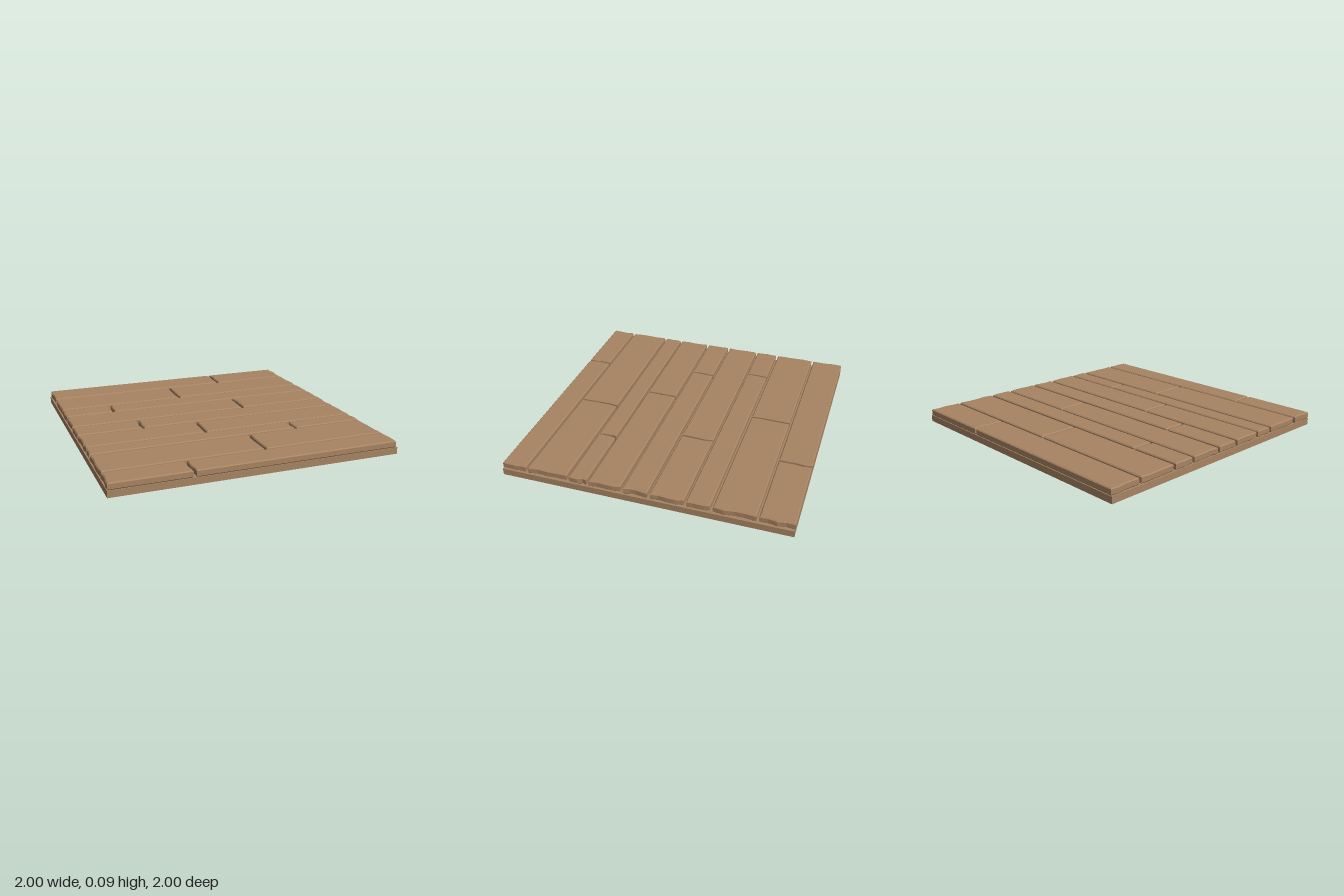
import * as THREE from 'three';

// Small seeded generator, returns -1..1
function seeded(seed) {
  let s = seed;
  return () => {
    s = (s * 16807) % 2147483647;
    return (s / 2147483647) * 2 - 1;
  };
}

const BASE_TOP = 0.047, TOP = 0.095, BEVEL = 0.007, GAP = 0.018;

// Each row: back z, front z, x of the joint between its two planks
const ROWS = [
  [-1.0, -0.772, 0.4],
  [-0.755, -0.475, -0.052],
  [-0.455, -0.3, -0.63],
  [-0.283, -0.056, 0.322],
  [-0.036, 0.13, -0.53],
  [0.15, 0.37, -0.14],
  [0.387, 0.512, 0.482],
  [0.532, 0.812, 0.11],
  [0.83, 1.0, -0.455],
];

export function createModel() {
  const group = new THREE.Group();
  group.name = 'plankFloor';
  const wood = new THREE.MeshStandardMaterial({ color: 0xa88463, flatShading: true });
  const rand = seeded(4721);

  // Slab under the planks
  const base = new THREE.Mesh(new THREE.BoxGeometry(2, BASE_TOP, 2), wood);
  base.position.y = BASE_TOP / 2;
  base.name = 'baseSlab';
  group.add(base);

  // A roughly sawn edge: x values at even steps from back to front
  const sawnEdge = (x, amount) => Array.from({ length: 5 }, () => x + rand() * amount);

  // Bevelled plank between two sawn edges
  function addPlank(name, z0, z1, left, right) {
    const at = (x, i) => new THREE.Vector2(x, -(z0 + ((z1 - z0) * i) / 4));
    const outline = [
      ...left.map(at),
      ...right.map(at).reverse(),
    ];
    const geometry = new THREE.ExtrudeGeometry(new THREE.Shape(outline), {
      depth: TOP - BASE_TOP - 2 * BEVEL,
      bevelEnabled: true, bevelSegments: 1,
      bevelSize: BEVEL, bevelThickness: BEVEL, bevelOffset: -BEVEL,
    });
    geometry.rotateX(-Math.PI / 2);
    const plank = new THREE.Mesh(geometry, wood);
    plank.position.y = BASE_TOP + BEVEL;
    plank.name = name;
    group.add(plank);
  }

  // Two planks per row, sharing the wavy joint
  ROWS.forEach(([z0, z1, joint], i) => {
    const seam = sawnEdge(joint, 0.005);
    addPlank(`plankRight${i + 1}`, z0, z1, sawnEdge(-0.994, 0.005), seam.map((x) => x - GAP / 2));
    addPlank(`plankLeft${i + 1}`, z0, z1, seam.map((x) => x + GAP / 2), sawnEdge(0.988, 0.007));
  });

  return group;
}
